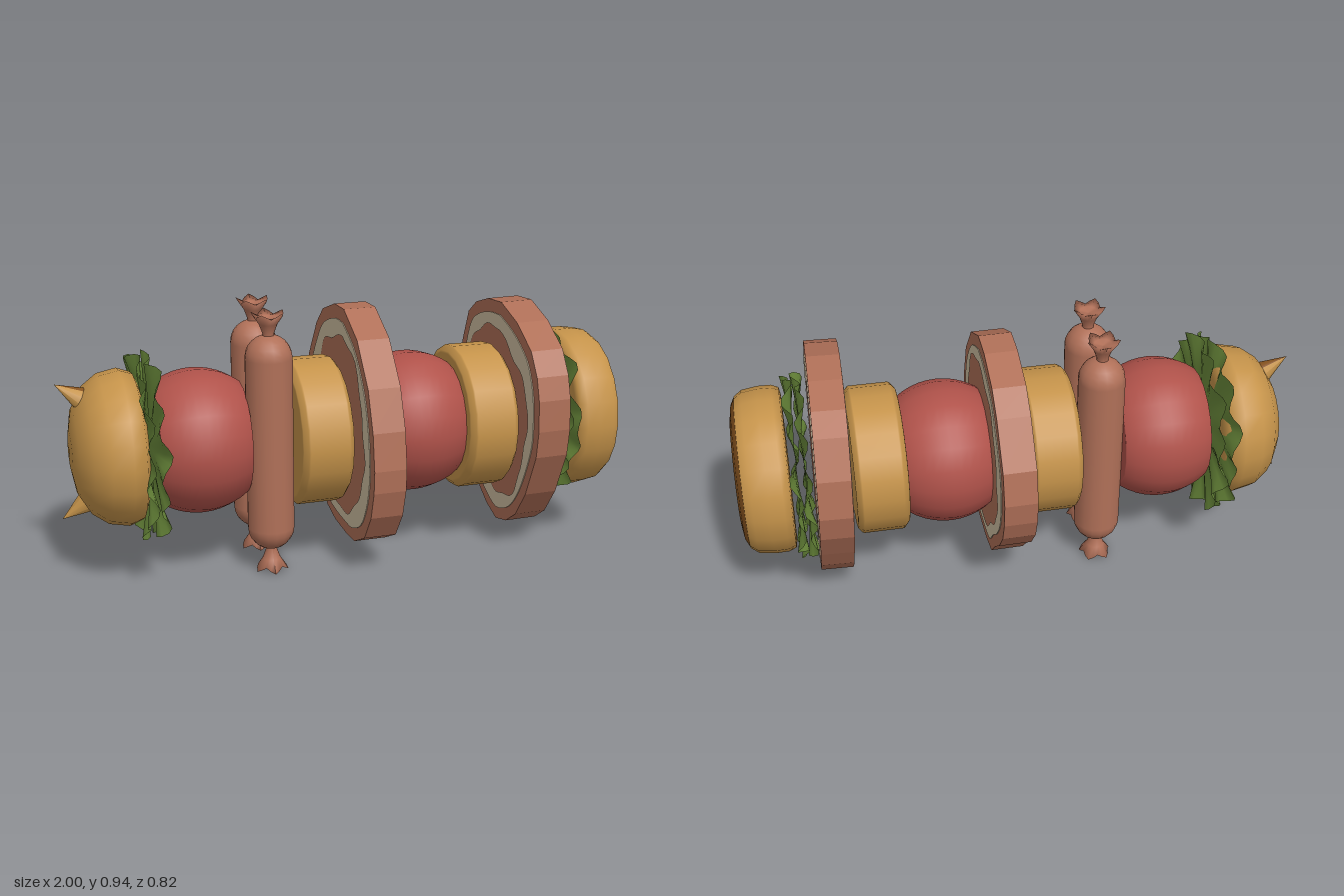
import * as THREE from 'three';

const mat = (name, color, double) => {
  const m = new THREE.MeshStandardMaterial({ color });
  m.name = name;
  if (double) m.side = THREE.DoubleSide;
  return m;
};

export function createModel() {
  const model = new THREE.Group();
  const bread = mat('bread', 0xc5934a);
  const crust = mat('crust', 0x85521f);
  const tomatoRed = mat('tomato red', 0xb0524a);
  const meat = mat('meat', 0xb07058, true);
  const fat = mat('fat', 0xd0c0a2);
  const leaf = mat('lettuce green', 0x6c8c3c, true);
  const CY = 0.475, CZ = 0.012;

  const add = (parent, name, geo, material) => {
    const mesh = new THREE.Mesh(geo, material);
    mesh.name = name;
    parent.add(mesh);
    return mesh;
  };

  // Solid of revolution along x; profile is [x, radius] from -x to +x
  const turned = (name, profile, material, x = 0, segments = 20) => {
    const pts = profile.map(([px, r]) => new THREE.Vector2(r, px));
    const mesh = add(model, name, new THREE.LatheGeometry(pts, segments), material);
    mesh.rotation.z = -Math.PI / 2;
    mesh.position.set(x, CY, CZ);
    return mesh;
  };

  // Top bun with two pointed ears
  turned('topBun', [[-0.963, 0], [-0.96, 0.07], [-0.945, 0.15], [-0.905, 0.22], [-0.85, 0.26],
    [-0.78, 0.274], [-0.735, 0.258], [-0.72, 0.22], [-0.718, 0.2], [-0.718, 0]], bread);
  for (const s of [1, -1]) {
    const ear = new THREE.Group();
    ear.name = s > 0 ? 'upperEar' : 'lowerEar';
    const dir = new THREE.Vector3(-0.13, s * 0.085, 0).normalize();
    ear.quaternion.setFromUnitVectors(new THREE.Vector3(0, 1, 0), dir);
    ear.position.set(-1, CY + s * 0.243, CZ).addScaledVector(dir, -0.075);
    // The outward side of each ear is browned
    const start = s > 0 ? 0 : Math.PI;
    const cone = (a, l) => new THREE.ConeGeometry(0.058, 0.15, 8, 1, true, a, l);
    const mid = start + Math.PI / 2;
    add(ear, 'earCrust', cone(mid - 0.6, 1.2), crust);
    add(ear, 'earBread', cone(mid + 0.6, Math.PI * 2 - 1.2), bread);
    // Point the browned side away from the skewer axis
    const out = new THREE.Vector3(Math.sin(mid), 0, Math.cos(mid)).applyQuaternion(ear.quaternion);
    if (out.y * s < 0) ear.rotateY(Math.PI);
    model.add(ear);
  }

  // Ruffled lettuce leaves, two per layer
  const lettuce = (name, x, lean, phase) => {
    const rings = 5, segs = 72, pos = [], idx = [];
    for (let i = 0; i <= rings; i++) {
      const t = i / rings;
      for (let j = 0; j < segs; j++) {
        const a = (j / segs) * Math.PI * 2;
        const r = t * (0.318 + 0.013 * Math.sin(a * 9 + phase * 2));
        const wave = 0.017 * Math.sin(a * 13 + phase) + 0.008 * Math.sin(a * 7 - phase);
        pos.push(t ** 3 * (wave + lean), r * Math.cos(a), r * Math.sin(a));
        if (i < rings) {
          const k = i * segs + j, n = i * segs + (j + 1) % segs;
          idx.push(k, k + segs, n, n, k + segs, n + segs);
        }
      }
    }
    const geo = new THREE.BufferGeometry();
    geo.setAttribute('position', new THREE.Float32BufferAttribute(pos, 3));
    geo.setIndex(idx);
    geo.computeVertexNormals();
    add(model, name, geo, leaf).position.set(x, CY, CZ);
  };
  lettuce('lettuceLeftOuter', -0.715, -0.014, 0.4);
  lettuce('lettuceLeftInner', -0.69, 0.008, 2.1);
  lettuce('lettuceRightInner', 0.757, -0.004, 1.2);
  lettuce('lettuceRightOuter', 0.785, 0.005, 3.3);

  // Tomatoes: balls with both ends sliced flat
  const ball = [[-0.157, 0], [-0.157, 0.195]];
  for (let i = -5; i <= 5; i++) {
    const x = (i / 5) * 0.156;
    ball.push([x, Math.sqrt(0.255 ** 2 - x * x)]);
  }
  ball.push([0.157, 0.195], [0.157, 0]);
  turned('tomatoLeft', ball, tomatoRed, -0.52);
  turned('tomatoRight', ball, tomatoRed, 0.26);

  // Round bread pieces
  const roll = [[-0.092, 0], [-0.092, 0.235], [-0.09, 0.243], [-0.076, 0.26], [-0.07, 0.263],
    [0.07, 0.263], [0.076, 0.26], [0.09, 0.243], [0.092, 0.235], [0.092, 0]];
  turned('breadLeft', roll, bread, -0.108);
  turned('breadRight', roll, bread, 0.503);

  // Sausages with pinched, flared ends
  const flare = new THREE.LatheGeometry([[0.022, 0.1], [0.02, 0.078], [0.032, 0.045], [0.054, 0.012],
    [0.03, 0.022], [0, 0.03]].map(([r, y]) => new THREE.Vector2(r, y)), 20);
  const fp = flare.attributes.position;
  for (let i = 0; i < fp.count; i++) {
    const x = fp.getX(i), z = fp.getZ(i), r = Math.hypot(x, z);
    if (r < 0.045) continue;
    const w = Math.cos(5 * Math.atan2(x, z));
    const k = 1 + 0.1 * w;
    fp.setXYZ(i, x * k, fp.getY(i) - 0.009 * w, z * k);
  }
  flare.computeVertexNormals();
  for (const z of [0.122, -0.097]) {
    const sausage = new THREE.Group();
    sausage.name = z > 0 ? 'frontSausage' : 'backSausage';
    sausage.position.set(-0.285, CY, z);
    add(sausage, 'sausageBody', new THREE.CapsuleGeometry(0.083, 0.615, 6, 16), meat);
    add(sausage, 'lowerKnot', flare, meat).position.y = -CY;
    const top = add(sausage, 'upperKnot', flare, meat);
    top.rotation.x = Math.PI;
    top.position.y = 0.947 - CY;
    model.add(sausage);
  }

  // Meat slices: outline of [z, y], with a ring of fat on each face
  const slice = (name, x, outline, tiltY, tiltZ, turn) => {
    const g = new THREE.Group();
    g.name = name;
    const depth = 0.116;
    const base = outline.map(([z, y]) => new THREE.Vector2(-(z - CZ), y - CY));
    add(g, 'meatBody', new THREE.ExtrudeGeometry(new THREE.Shape(base),
      { depth, bevelEnabled: false }).translate(0, 0, -depth / 2), meat);
    const smooth = new THREE.SplineCurve([...base, base[0]]).getPoints(72).slice(0, -1);
    const ring = new THREE.Shape(smooth.map(p => p.clone().multiplyScalar(0.885)));
    ring.holes.push(new THREE.Path(smooth.map(p => {
      const a = p.angle() + turn;
      return p.clone().multiplyScalar(0.745 + 0.04 * Math.sin(2 * a) + 0.025 * Math.sin(5 * a)
        + 0.015 * Math.sin(11 * a));
    })));
    const fatGeo = new THREE.ExtrudeGeometry(ring, { depth: 0.004, bevelEnabled: false });
    add(g, 'fatRingRight', fatGeo, fat).position.z = depth / 2 - 0.001;
    add(g, 'fatRingLeft', fatGeo, fat).position.z = -depth / 2 - 0.003;
    g.rotation.y = Math.PI / 2;
    const holder = new THREE.Group();
    holder.name = name + 'Holder';
    holder.add(g);
    holder.rotation.set(0, tiltY, tiltZ);
    holder.position.set(x, CY, CZ);
    model.add(holder);
  };
  slice('meatSliceMiddle', 0.062, [[0.05, 0.915], [-0.06, 0.91], [-0.2, 0.86], [-0.28, 0.79],
    [-0.385, 0.64], [-0.41, 0.52], [-0.4, 0.43], [-0.37, 0.35], [-0.3, 0.26], [-0.23, 0.2],
    [-0.15, 0.115], [-0.05, 0.092], [0.08, 0.088], [0.18, 0.095], [0.29, 0.15], [0.36, 0.25],
    [0.39, 0.35], [0.395, 0.43], [0.375, 0.56], [0.32, 0.7], [0.2, 0.84]], 0.012, 0, 2);
  slice('meatSliceRight', 0.667, [[0.05, 0.9], [-0.08, 0.885], [-0.2, 0.845], [-0.28, 0.79],
    [-0.345, 0.66], [-0.366, 0.52], [-0.345, 0.42], [-0.28, 0.3], [-0.22, 0.2], [-0.15, 0.12],
    [-0.08, 0.08], [0.02, 0.052], [0.12, 0.08], [0.21, 0.14], [0.3, 0.25], [0.39, 0.42],
    [0.41, 0.52], [0.408, 0.63], [0.385, 0.71], [0.33, 0.79], [0.2, 0.86]], -0.02, 0.025, 0);

  // Bottom bun with a browned base
  turned('bottomBun', [[0.81, 0], [0.81, 0.26], [0.815, 0.284], [0.84, 0.295], [0.89, 0.296],
    [0.945, 0.288], [0.972, 0.268]], bread);
  turned('bottomBunCrust', [[0.972, 0.268], [0.986, 0.24], [0.994, 0.19], [0.996, 0.1], [0.996, 0]], crust);

  return model;
}
